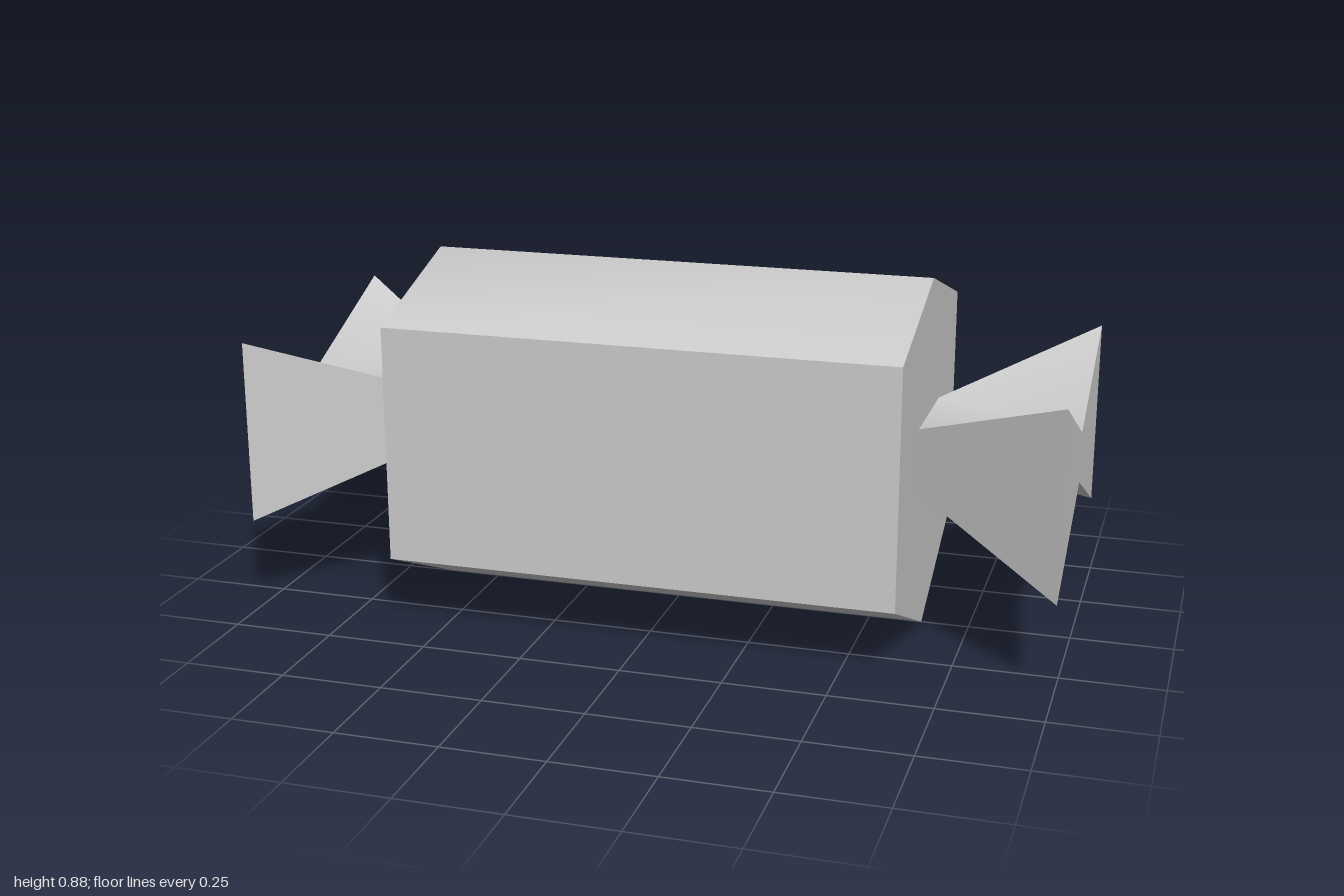
import * as THREE from 'three';
import { toCreasedNormals } from 'three/addons/utils/BufferGeometryUtils.js';

const HALF = 0.632;   // half length of the body
const CREASE = 1.0;   // ridges shade smoothly, shoulders and ends stay sharp

const material = new THREE.MeshStandardMaterial({ color: 0xcccccc });

function addMesh(parent, geometry, name) {
  const mesh = new THREE.Mesh(toCreasedNormals(geometry, CREASE), material);
  mesh.name = name;
  parent.add(mesh);
  return mesh;
}

// Six-sided prism lying along x
function bodyGeometry() {
  const profile = [[0, 0], [0.38, 0.17], [0.38, 0.76], [0, 0.88], [-0.38, 0.76], [-0.38, 0.17]];
  const shape = new THREE.Shape(profile.map(([u, y]) => new THREE.Vector2(u, y)));
  return new THREE.ExtrudeGeometry(shape, { depth: 2 * HALF, bevelEnabled: false })
    .translate(0, 0, -HALF)
    .rotateY(Math.PI / 2);
}

// Wrapper end: small rectangle at the body flaring to a notched outer edge
function wrapperGeometry() {
  const points = {
    // inner rectangle
    a: [HALF, 0.545, 0.14], b: [HALF, 0.39, 0.14],
    c: [HALF, 0.39, -0.14], d: [HALF, 0.545, -0.14],
    // outer bow-tie outline, T and M are the notches
    T: [1, 0.528, 0], A: [1, 0.696, 0.387], B: [1, 0.235, 0.387],
    M: [1, 0.403, 0], C: [1, 0.235, -0.387], D: [1, 0.696, -0.387],
  };
  const faces = [
    'abB', 'aBA', 'cdD', 'cDC',   // front and back sides
    'daT', 'aAT', 'dTD',          // top with its valley
    'bcM', 'cCM', 'bMB',          // underside with its valley
    'TAB', 'TBM', 'TMC', 'TCD',   // end cap
  ];
  const positions = faces.flatMap(face => [...face].flatMap(key => points[key]));
  const geometry = new THREE.BufferGeometry();
  geometry.setAttribute('position', new THREE.Float32BufferAttribute(positions, 3));
  geometry.computeVertexNormals();
  return geometry;
}

export function createModel() {
  const model = new THREE.Group();
  model.name = 'wrappedCandy';
  addMesh(model, bodyGeometry(), 'body');
  addMesh(model, wrapperGeometry(), 'leftWrapperEnd');
  addMesh(model, wrapperGeometry().rotateY(Math.PI), 'rightWrapperEnd');
  return model;
}
